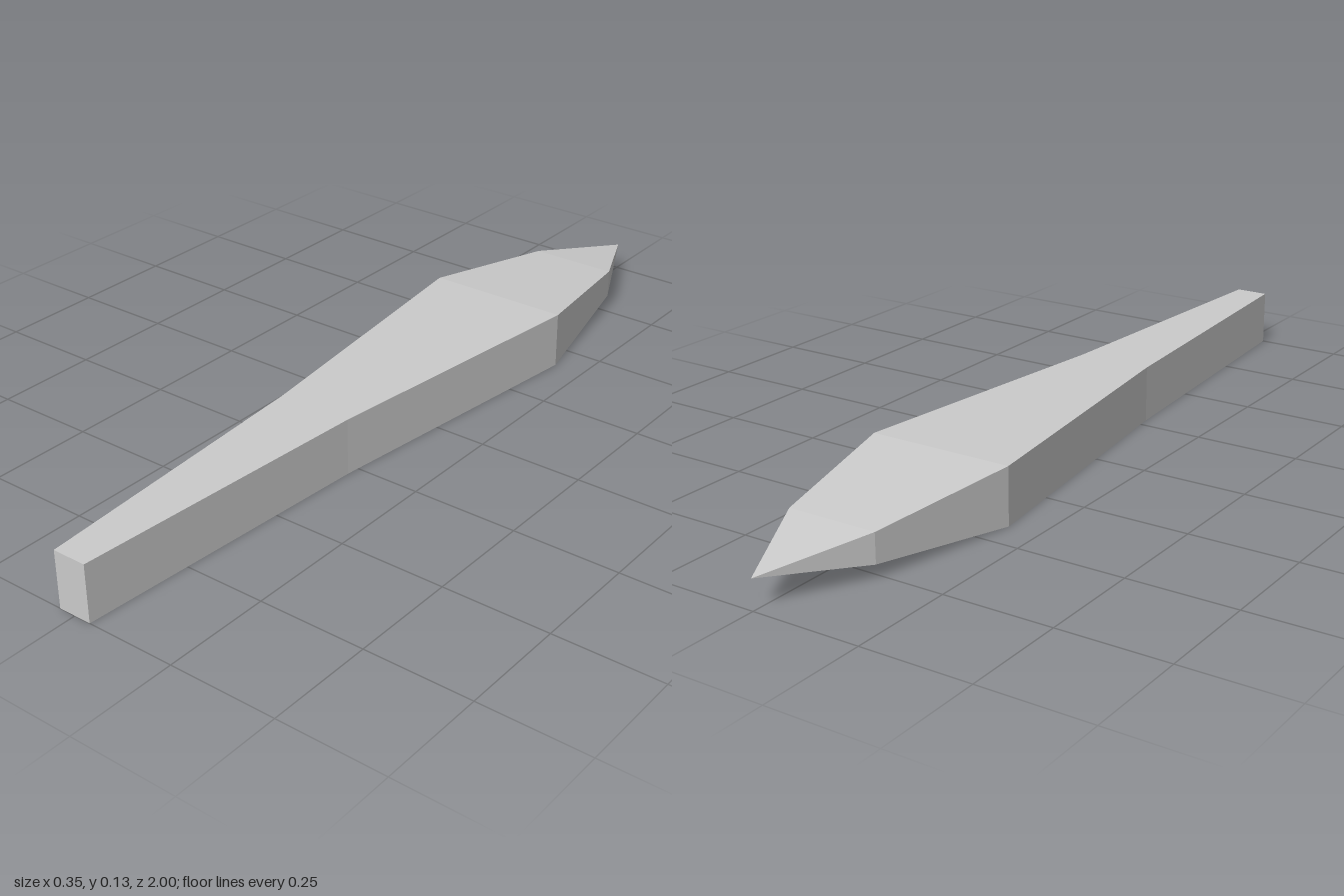
import * as THREE from 'three';

// Cross-sections from the square butt to the point: [z, half width, half height]
const MID_Y = 0.067;
const SECTIONS = [
  [1, 0.04, 0.067],
  [0.28, 0.09, 0.067],
  [-0.42, 0.174, 0.067],
  [-0.77, 0.107, 0.034],
  [-1, 0, 0],
];

// Rectangular loft with a flat front cap, closing to a point at the back
function loft(sections) {
  const rings = sections.map(([z, w, h]) =>
    [[-1, -1], [1, -1], [1, 1], [-1, 1]].map(([sx, sy]) => [sx * w, MID_Y + sy * h, z]));
  const positions = [];
  const tri = (...corners) => corners.forEach((p) => positions.push(...p));

  const [c0, c1, c2, c3] = rings[0];
  tri(c0, c1, c2);
  tri(c0, c2, c3);

  for (let i = 0; i < rings.length - 1; i++) {
    const a = rings[i], b = rings[i + 1];
    const isTip = i === rings.length - 2;
    for (let j = 0; j < 4; j++) {
      const k = (j + 1) % 4;
      tri(a[j], b[k], a[k]);
      if (!isTip) tri(a[j], b[j], b[k]);
    }
  }

  const geometry = new THREE.BufferGeometry();
  geometry.setAttribute('position', new THREE.Float32BufferAttribute(positions, 3));
  geometry.computeVertexNormals(); // unshared corners give flat faces
  return geometry;
}

export function createModel() {
  const group = new THREE.Group();
  group.name = 'spike';

  const paleGrey = new THREE.MeshStandardMaterial({ color: 0xcccccc });
  paleGrey.name = 'paleGrey';

  const blade = new THREE.Mesh(loft(SECTIONS), paleGrey);
  blade.name = 'blade';
  group.add(blade);

  return group;
}
